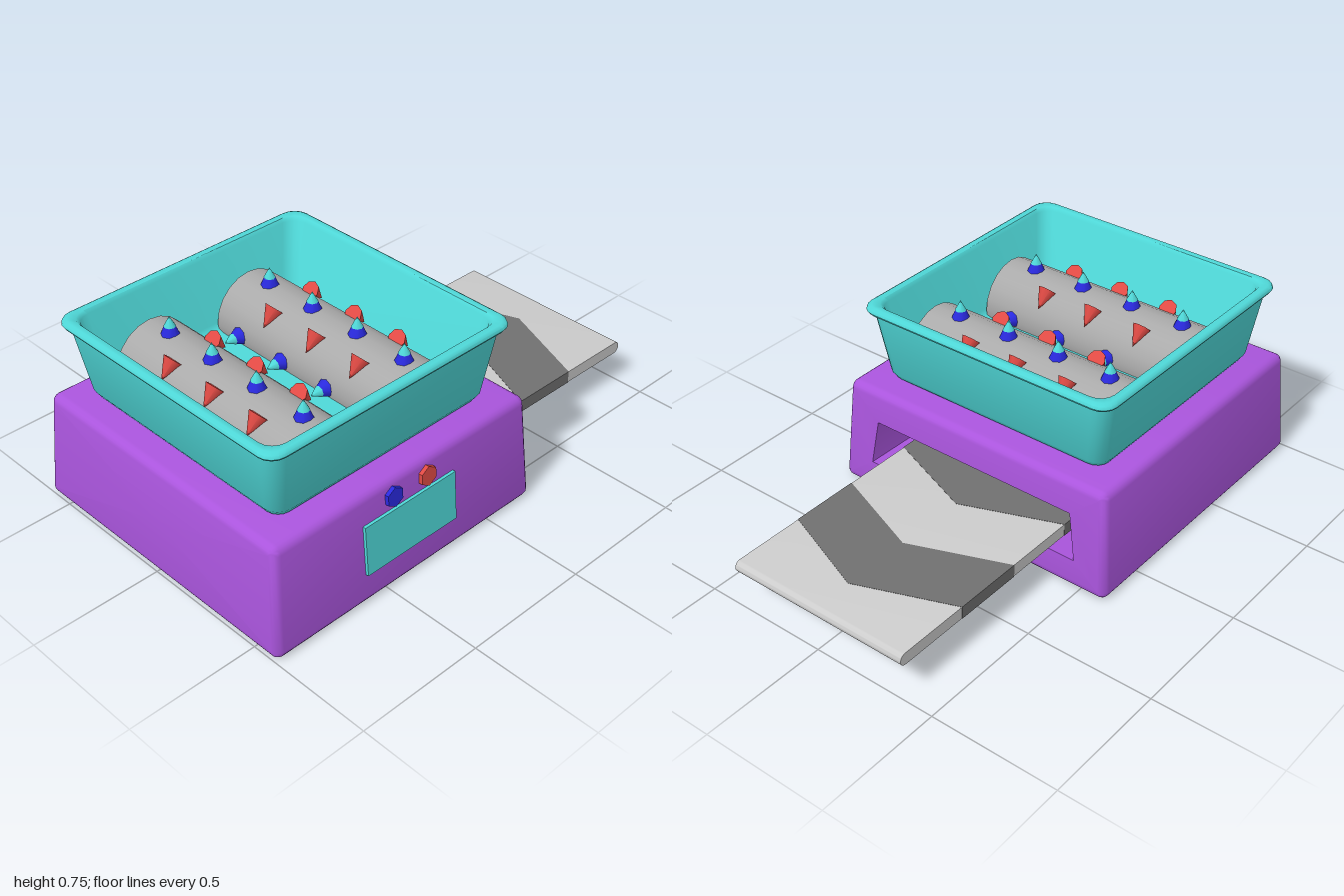
import * as THREE from 'three';
import { toCreasedNormals } from 'three/addons/utils/BufferGeometryUtils.js';

const paint = (color) => new THREE.MeshStandardMaterial({ color });
const purple = paint(0xaa55dd), teal = paint(0x4fd8d8), blue = paint(0x2a2adf), red = paint(0xe04a44);
const grey = paint(0xcccccc), midGrey = paint(0xaaaaaa), darkGrey = paint(0x707070);

function add(parent, name, geometry, material, x = 0, y = 0, z = 0) {
  const mesh = new THREE.Mesh(geometry, material);
  mesh.name = name;
  mesh.position.set(x, y, z);
  parent.add(mesh);
  return mesh;
}

// Counterclockwise rounded rectangle, always with the same number of points
function roundedLoop(u0, u1, v0, v1, r, seg = 4) {
  const pts = [];
  [[u1 - r, v1 - r], [u0 + r, v1 - r], [u0 + r, v0 + r], [u1 - r, v0 + r]].forEach(([u, v], q) => {
    for (let k = 0; k <= seg; k++) {
      const a = (q + k / seg) * Math.PI / 2;
      pts.push([u + r * Math.cos(a), v + r * Math.sin(a)]);
    }
  });
  return pts;
}

// Skin over a series of loops, closed at both ends
function loft(loops, crease = 0.6) {
  const pos = [], tri = (...p) => p.forEach((v) => pos.push(v.x, v.y, v.z));
  const n = loops[0].length;
  const middle = (l) => l.reduce((s, p) => s.add(p), new THREE.Vector3()).divideScalar(n);
  const first = loops[0], last = loops[loops.length - 1];
  const c0 = middle(first), c1 = middle(last);
  for (let j = 0; j < n; j++) {
    const k = (j + 1) % n;
    tri(c0, first[k], first[j]);
    for (let i = 0; i + 1 < loops.length; i++) {
      const a = loops[i], b = loops[i + 1];
      tri(a[j], a[k], b[k]);
      tri(a[j], b[k], b[j]);
    }
    tri(c1, last[j], last[k]);
  }
  const g = new THREE.BufferGeometry();
  g.setAttribute('position', new THREE.Float32BufferAttribute(pos, 3));
  g.computeVertexNormals();
  return toCreasedNormals(g, crease);
}

// Tapered housing with a slot in its left side
function housingGeometry() {
  const H = 0.43, R = 0.03, loops = [];
  const outer = (x, slope, inset) => roundedLoop(inset, H - inset, inset - 0.61, 0.61 - inset, Math.max(R - inset, 0.002))
    .map(([y, z]) => new THREE.Vector3(x + slope * y / H, y, z * (1 - 0.05 * y / H)));
  for (let k = 0; k <= 4; k++) {
    const a = k * Math.PI / 8;
    loops.push(outer(-1 + R * (1 - Math.sin(a)), 0.03, R * (1 - Math.cos(a))));
  }
  loops.reverse();
  loops.length = 0;
  for (let k = 0; k <= 4; k++) {
    const a = k * Math.PI / 8;
    loops.push(outer(-1 + R * (1 - Math.sin(a)), 0.03, R * (1 - Math.cos(Math.PI / 2 - a))));
  }
  loops.length = 0;
  const arc = [0, 1, 2, 3, 4].map((k) => k * Math.PI / 8);
  // a runs from the flat end face (0) to the side walls (90 degrees)
  arc.forEach((a) => loops.push(outer(-1 + R * (1 - Math.cos(a)), 0.03, R * (1 - Math.sin(a)))));
  arc.reverse().forEach((a) => loops.push(outer(0.215 - R * (1 - Math.cos(a)), -0.025, R * (1 - Math.sin(a)))));
  const slot = (x, slope, top, wide, narrow) => roundedLoop(0.115, top, -1, 1, 0.001)
    .map(([y, z]) => {
      const t = (y - 0.115) / (top - 0.115);
      return new THREE.Vector3(x + slope * y / H, y, z * (wide + (narrow - wide) * t));
    });
  loops.push(slot(0.215, -0.025, 0.3, 0.47, 0.44));
  loops.push(slot(-0.8, 0, 0.275, 0.45, 0.435));
  return loft(loops);
}

// Open tub: outside, rolled rim, inside and floor
function tubGeometry() {
  const rows = [ // height, half width, half depth, corner radius
    [0.425, 0.445, 0.455, 0.04], [0.435, 0.468, 0.475, 0.05], [0.46, 0.485, 0.492, 0.06],
    [0.715, 0.525, 0.525, 0.06], [0.717, 0.54, 0.54, 0.06], [0.727, 0.546, 0.546, 0.06],
    [0.738, 0.543, 0.543, 0.06], [0.745, 0.532, 0.532, 0.06], [0.743, 0.51, 0.51, 0.06],
    [0.73, 0.5, 0.5, 0.06], [0.47, 0.462, 0.47, 0.06], [0.45, 0.447, 0.455, 0.05], [0.442, 0.42, 0.43, 0.04],
  ];
  return loft(rows.map(([y, hx, hz, r]) => roundedLoop(-hz, hz, -hx, hx, r)
    .map(([z, x]) => new THREE.Vector3(x, y, z))), 0.8);
}

// Two-tone spike standing along +y
function makeSpike(tipMaterial) {
  const spike = new THREE.Group();
  spike.name = 'spike';
  add(spike, 'spikeBase', toCreasedNormals(new THREE.CylinderGeometry(0.02, 0.037, 0.04, 8), 0.9), blue, 0, 0.02);
  add(spike, 'spikeTip', toCreasedNormals(new THREE.ConeGeometry(0.022, 0.04, 8), 0.9), tipMaterial, 0, 0.059);
  return spike;
}

function makeRoller(x) {
  const roller = new THREE.Group(), R = 0.155;
  roller.name = 'roller';
  roller.position.set(x, 0.475, 0);
  const drum = new THREE.CylinderGeometry(R, R, 0.915, 20).rotateX(Math.PI / 2);
  add(roller, 'drum', toCreasedNormals(drum, 0.6), midGrey);
  // Rings of four spikes
  for (const z of [-0.34, -0.115, 0.11, 0.335]) {
    for (let q = 0; q < 4; q++) {
      const a = q * Math.PI / 2, spike = makeSpike(q === 2 ? blue : teal);
      spike.position.set(-Math.sin(a) * 0.143, Math.cos(a) * 0.143, z);
      spike.rotation.z = a;
      roller.add(spike);
    }
  }
  // Red teeth on the shoulders, pointing out and down
  for (const z of [-0.22, 0, 0.215]) {
    for (const s of [-1, 1]) {
      const cone = toCreasedNormals(new THREE.ConeGeometry(0.037, 0.08, 8), 0.9);
      add(roller, 'tooth', cone, red, s * 0.113, 0.113, z).rotation.z = -s * Math.PI * 0.75;
    }
  }
  return roller;
}

// Conveyor with rounded ends and dark arrow bands
function makeConveyor() {
  const belt = new THREE.Group();
  belt.name = 'conveyor';
  const x0 = -0.7, x1 = 1, r = 0.024, W = 0.375;
  const side = new THREE.Shape();
  side.absarc(x1 - r, 0, r, -Math.PI / 2, Math.PI / 2);
  side.absarc(x0 + r, 0, r, Math.PI / 2, Math.PI * 1.5);
  const slab = new THREE.ExtrudeGeometry(side, { depth: 2 * W, bevelEnabled: false, curveSegments: 10 });
  add(belt, 'belt', toCreasedNormals(slab.translate(0, 0.158, -W), 0.6), grey);
  const t = r + 0.001, w = W + 0.001;
  for (const tip of [-0.28, 0.28, 0.84]) {
    const back = tip - 0.275;
    const arrow = new THREE.Shape([[tip, 0], [tip - 0.145, w], [back - 0.145, w], [back, 0], [back - 0.145, -w], [tip - 0.145, -w]]
      .map(([x, y]) => new THREE.Vector2(x, y)));
    const g = new THREE.ExtrudeGeometry(arrow, { depth: 2 * t, bevelEnabled: false });
    add(belt, 'arrowBand', g.rotateX(-Math.PI / 2).translate(0, 0.158 - t, 0), darkGrey);
  }
  return belt;
}

export function createModel() {
  const model = new THREE.Group();
  model.name = 'shredder';
  add(model, 'housing', housingGeometry(), purple);
  add(model, 'tub', tubGeometry(), teal, -0.392);
  model.add(makeRoller(-0.615), makeRoller(-0.16), makeConveyor());

  // Control panel and buttons on the sloping front
  const controls = new THREE.Group();
  controls.name = 'controls';
  controls.position.z = 0.61;
  controls.rotation.x = -Math.atan(0.0305 / 0.43);
  add(controls, 'panel', new THREE.BoxGeometry(0.42, 0.195, 0.02), teal, -0.39, 0.218, 0.002);
  for (const [x, material] of [[-0.463, blue], [-0.307, red]]) {
    const button = new THREE.CylinderGeometry(0.038, 0.038, 0.03, 6).rotateX(Math.PI / 2);
    add(controls, 'button', toCreasedNormals(button, 0.5), material, x, 0.366, 0.001);
  }
  model.add(controls);
  return model;
}
